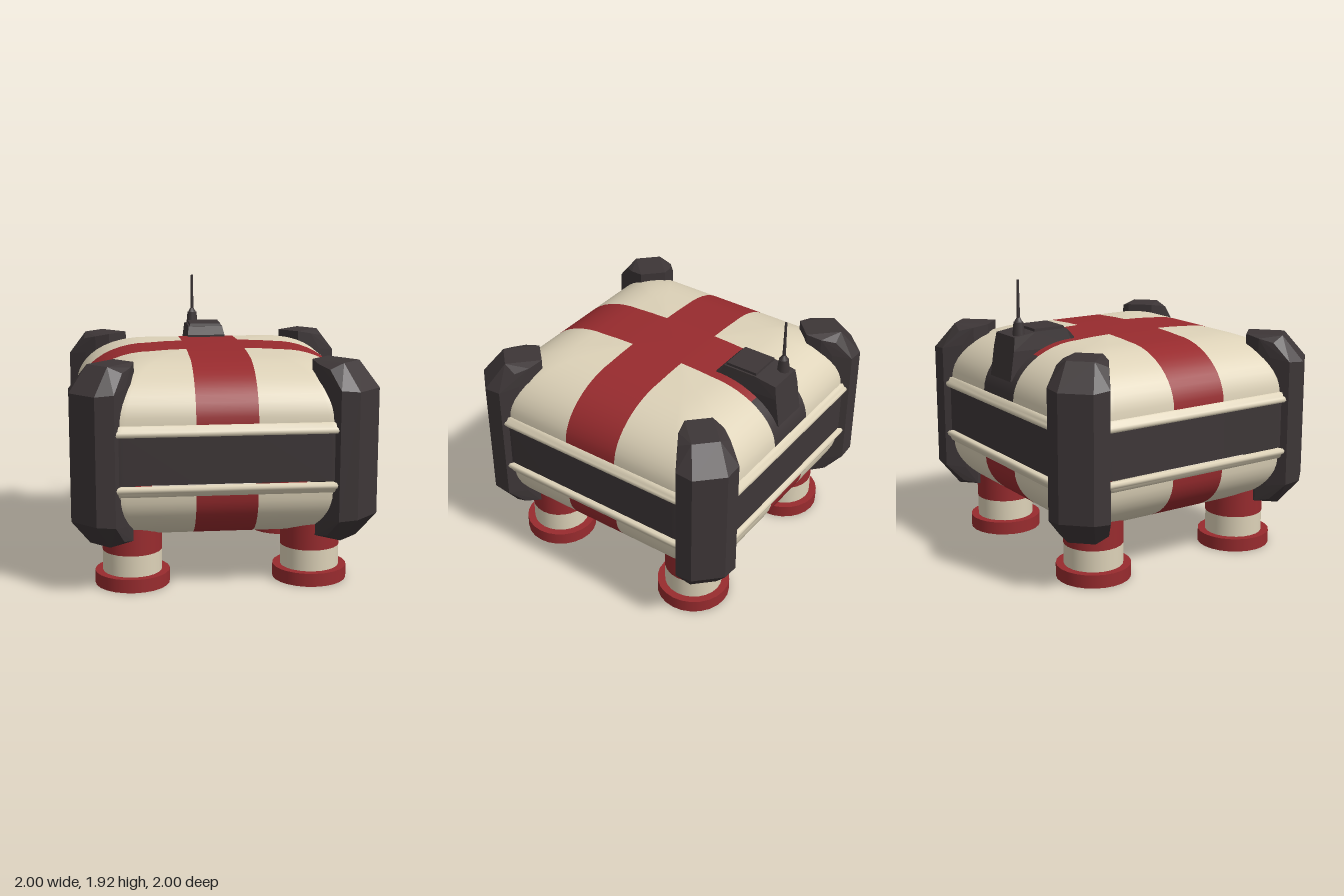
import * as THREE from 'three';
import { ConvexGeometry } from 'three/addons/geometries/ConvexGeometry.js';

const MID = 0.91;    // height of the body's middle
const STRIPE = 0.2;  // half width of the painted cross

export function createModel() {
  const model = new THREE.Group();
  const material = (name, color) => {
    const m = new THREE.MeshStandardMaterial({ color });
    m.name = name;
    return m;
  };
  const cream = material('cream', 0xddd2b8);
  const red = material('red', 0x982b2e);
  const dark = material('charcoal', 0x3d3637);

  const add = (name, geometry, mat, parent = model) => {
    const mesh = new THREE.Mesh(geometry, mat);
    mesh.name = name;
    parent.add(mesh);
    return mesh;
  };

  // One rounded-square ring of half width h at height y
  const ARC = 5;
  const SIDE = 2 * ARC + 2;
  function ring(h, y) {
    const rc = 0.3 * Math.pow(Math.min(1, Math.max(0, (h - STRIPE) / 0.75)), 1.2);
    const side = [];
    const arc = (sign, a) => side.push([sign * (h - rc) + rc * Math.sin(a), h - rc + rc * Math.cos(a)]);
    for (let i = 0; i <= ARC; i++) arc(-1, (i / ARC - 1) * Math.PI / 4);
    side.push([-STRIPE, h], [STRIPE, h]);
    for (let i = 0; i < ARC - 1 + 0; i++) arc(1, (i / ARC) * Math.PI / 4);
    arc(1, ((ARC - 1) / ARC) * Math.PI / 4);
    const points = [];
    for (let k = 0; k < 4; k++) {
      const c = Math.round(Math.cos(k * Math.PI / 2)), s = Math.round(Math.sin(k * Math.PI / 2));
      for (const [x, z] of side.slice(0, SIDE + 1)) points.push(x * c + z * s, MID + y, -x * s + z * c);
    }
    return points;
  }

  // Skin from rings listed top to bottom; pick(side, inStripe, h) gives the material index
  function loft(levels, pick, cap) {
    const pos = levels.flatMap(([h, y]) => ring(h, y));
    const n = pos.length / 3 / levels.length;
    const perSide = n / 4;
    const faces = [[], [], []];
    for (let i = 0; i < levels.length - 1; i++) {
      const h = (levels[i][0] + levels[i + 1][0]) / 2;
      for (let j = 0; j < n; j++) {
        const a = i * n + j, b = i * n + (j + 1) % n, c = b + n, d = a + n;
        const slot = pick(Math.floor(j / perSide), j % perSide === ARC + 1, h);
        faces[slot].push(a, d, c, a, c, b);
      }
    }
    // Red centre of the cross
    if (cap) {
      const base = cap > 0 ? 0 : (levels.length - 1) * n;
      const centre = pos.length / 3;
      pos.push(0, pos[base * 3 + 1] + cap * 0.004, 0);
      for (let j = 0; j < n; j++) {
        const a = base + j, b = base + (j + 1) % n;
        faces[1].push(centre, ...(cap > 0 ? [a, b] : [b, a]));
      }
    }
    const g = new THREE.BufferGeometry();
    g.setAttribute('position', new THREE.Float32BufferAttribute(pos, 3));
    g.setIndex(faces.flat());
    let start = 0;
    faces.forEach((f, i) => {
      if (f.length) g.addGroup(start, f.length, i);
      start += f.length;
    });
    g.computeVertexNormals();
    return g;
  }

  // Domed shells with a painted cross; the rear of the upper one is charcoal
  const dome = [[STRIPE, 0.602], [0.33, 0.598]];
  for (let i = 0; i <= 12; i++) {
    const a = (i / 12) * Math.PI / 2;
    dome.push([0.45 + 0.5 * Math.sin(a), 0.23 + 0.36 * Math.cos(a)]);
  }
  const flip = (levels) => levels.map(([h, y]) => [h, -y]).reverse();
  const paint = [cream, red, dark];
  add('upperShell', loft(dome, (s, stripe, h) => (!stripe ? 0 : s === 2 && h > 0.77 ? 2 : 1), 1), paint);
  add('lowerShell', loft(flip(dome), (s, stripe) => (stripe ? 1 : 0), -1), paint);

  // Raised rims and the belt between them
  const rim = [[0.94, 0.235], [0.965, 0.228], [0.972, 0.205], [0.985, 0.195], [0.99, 0.178], [0.98, 0.163], [0.95, 0.16]];
  add('upperRim', loft(rim, () => 0), paint);
  add('lowerRim', loft(flip(rim), () => 0), paint);
  add('belt', loft([[0.962, 0.162], [0.962, -0.152]], () => 2), paint);

  // Chamfered corner guards: [distance along the diagonal, half width, height from middle]
  const guard = [
    [0.91, 0.09, 0.592], [1.155, 0.09, 0.59], [1.1, 0.165, 0.55], [1.0, 0.145, 0.572],
    [1.214, 0.2, 0.43], [1.3, 0.113, 0.42], [1.08, 0.17, 0.45], [0.91, 0.09, 0.5],
  ];
  const guardPoints = [];
  for (const [r, w, y] of guard)
    for (const sx of [-1, 1])
      for (const sy of [-1, 1]) guardPoints.push(new THREE.Vector3(sx * w, 0.92 + sy * y, r));
  const guardGeometry = new ConvexGeometry(guardPoints);
  for (let k = 0; k < 4; k++)
    add('cornerGuard', guardGeometry, dark).rotation.y = Math.PI / 4 + k * Math.PI / 2;

  // Banded legs on wide feet
  const drum = (name, r, y0, y1, mat, parent) => {
    add(name, new THREE.CylinderGeometry(r, r, y1 - y0, 24), mat, parent).position.y = (y0 + y1) / 2;
  };
  for (const x of [-0.6, 0.6]) {
    for (const z of [-0.59, 0.59]) {
      const leg = new THREE.Group();
      leg.name = 'leg';
      leg.position.set(x, 0, z);
      drum('foot', 0.25, 0, 0.09, red, leg);
      drum('legLower', 0.198, 0.09, 0.235, cream, leg);
      drum('legUpper', 0.2, 0.235, 0.45, red, leg);
      model.add(leg);
    }
  }

  // Antenna housing: side outline in (z, y), narrowing towards its top
  function housing(outline, width, taper) {
    const shape = new THREE.Shape(outline.map(([z, y]) => new THREE.Vector2(-z, y)));
    const g = new THREE.ExtrudeGeometry(shape, { depth: 2 * width, bevelEnabled: false });
    g.translate(0, 0, -width);
    g.rotateY(Math.PI / 2);
    const p = g.attributes.position;
    for (let i = 0; i < p.count; i++)
      if (p.getY(i) > 1.53) p.setX(i, p.getX(i) * taper);
    g.computeVertexNormals();
    return g;
  }
  add('antennaHousing', housing([
    [-0.44, 1.45], [-0.93, 1.26], [-0.9, 1.46], [-0.885, 1.55], [-0.73, 1.572], [-0.49, 1.572], [-0.44, 1.515],
  ].reverse(), 0.135, 0.92), dark);
  add('housingLid', housing([
    [-0.49, 1.54], [-0.73, 1.54], [-0.73, 1.59], [-0.505, 1.59],
  ].reverse(), 0.122, 0.92), dark);

  // Antenna
  const rod = (name, r0, r1, y0, y1, sides) =>
    add(name, new THREE.CylinderGeometry(r1, r0, y1 - y0, sides), dark).position.set(-0.07, (y0 + y1) / 2, -0.825);
  rod('antennaBase', 0.045, 0.034, 1.53, 1.64, 8);
  rod('antennaCollar', 0.03, 0.012, 1.64, 1.67, 8);
  rod('antennaMast', 0.012, 0.008, 1.66, 1.92, 8);

  return model;
}
